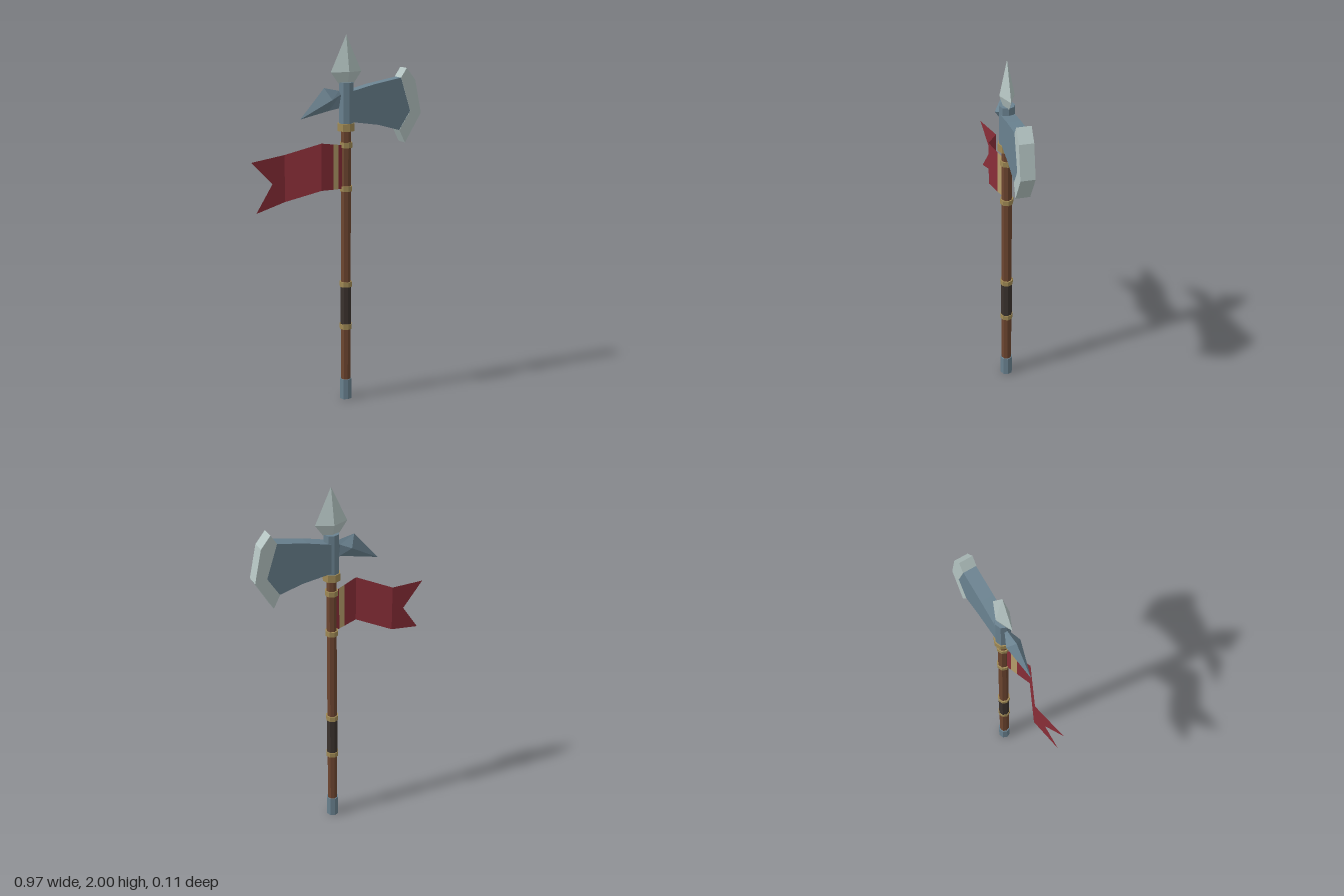
import * as THREE from 'three';

const AX = 0.057, AZ = -0.005; // shaft axis

const mat = (color, side = THREE.FrontSide) =>
  new THREE.MeshStandardMaterial({ color, flatShading: true, side });
const steel = mat(0x6a8290), edge = mat(0xb4c4c2), wood = mat(0x6e4630);
const brass = mat(0xa08a55), leather = mat(0x3b322e);
const red = mat(0x8a2e38, THREE.DoubleSide), tan = mat(0xb89f6c, THREE.DoubleSide);

// Surface through a series of cross-sections, each a list of [x, y, z]
function loft(sections, closed) {
  const n = sections[0].length, index = [];
  for (let s = 0; s < sections.length - 1; s++)
    for (let i = 0; i < (closed ? n : n - 1); i++) {
      const a = s * n + i, b = s * n + (i + 1) % n;
      index.push(a, b, a + n, b, b + n, a + n);
    }
  const g = new THREE.BufferGeometry();
  g.setAttribute('position', new THREE.Float32BufferAttribute(sections.flat(2), 3));
  g.setIndex(index);
  const flat = g.toNonIndexed();
  flat.computeVertexNormals();
  return flat;
}

export function createModel() {
  const model = new THREE.Group();
  const add = (name, geometry, material) => {
    const m = new THREE.Mesh(geometry, material);
    m.name = name;
    model.add(m);
    return m;
  };
  // Eight-sided cylinder on the shaft axis, from y0 to y1
  const rod = (name, r, y0, y1, material) =>
    add(name, new THREE.CylinderGeometry(r, r, y1 - y0, 8), material)
      .position.set(AX, (y0 + y1) / 2, AZ);

  // Shaft, grip and fittings
  rod('shaft', 0.028, 0.05, 1.54, wood);
  rod('pommel', 0.034, 0, 0.115, steel);
  rod('grip', 0.031, 0.42, 0.66, leather);
  for (const y of [0.42, 0.66, 1.19, 1.425]) rod('ring', 0.035, y - 0.014, y + 0.014, brass);
  rod('collar', 0.048, 1.5, 1.54, brass);
  rod('socket', 0.041, 1.535, 1.755, steel);

  // Axe blade and its bright cutting edge
  const plate = (name, points, depth, material) => {
    const shape = new THREE.Shape(points.map(p => new THREE.Vector2(...p)));
    const g = new THREE.ExtrudeGeometry(shape, { depth, bevelEnabled: false });
    add(name, g, material).position.z = AZ - depth / 2;
  };
  plate('axeBlade', [[0.06, 1.55], [0.085, 1.547], [0.23, 1.525], [0.355, 1.49],
    [0.42, 1.59], [0.365, 1.77], [0.2, 1.74], [0.085, 1.712], [0.06, 1.705]], 0.07, steel);
  plate('cuttingEdge', [[0.355, 1.49], [0.39, 1.42], [0.484, 1.577], [0.447, 1.755],
    [0.395, 1.82], [0.362, 1.77], [0.42, 1.59]], 0.074, edge);

  // Back spike: diamond sections from the socket to the tip
  const diamond = (xt, top, xs, mid, xb, bottom, w) =>
    [[xt, top, AZ], [xs, mid, AZ + w], [xb, bottom, AZ], [xs, mid, AZ - w]];
  add('backSpike', loft([
    diamond(0.05, 1.7, 0.05, 1.7, 0.05, 1.615, 0.01),
    diamond(0.015, 1.712, 0.015, 1.69, 0.015, 1.62, 0.014),
    diamond(-0.07, 1.73, -0.04, 1.67, -0.04, 1.61, 0.04),
    diamond(-0.205, 1.573, -0.205, 1.573, -0.205, 1.573, 0),
  ].reverse(), true), steel);

  // Spear point: four-sided, flattened in depth
  const spear = [[0.001, 1.745], [0.045, 1.75], [0.088, 1.81], [0.0005, 2]]
    .map(p => new THREE.Vector2(p[0], p[1]));
  const point = add('spearPoint', new THREE.LatheGeometry(spear, 4).toNonIndexed(), edge);
  point.scale.z = 0.44;
  point.position.set(AX, 0, AZ);

  // Pennant: vertical columns [x, top, bottom, z], with a swallow tail
  const cols = [[0.05, 1.42, 1.19, AZ], [0.006, 1.43, 1.192, 0.011], [-0.03, 1.436, 1.194, 0.024],
    [-0.11, 1.45, 1.2, 0.053], [-0.285, 1.39, 1.14, -0.028]];
  const column = ([x, top, bottom, z]) => [[x, top, z], [x, (top + bottom) / 2, z], [x, bottom, z]];
  const strip = (name, list, material) => add(name, loft(list.map(column), false), material);
  strip('pennantRoot', cols.slice(0, 2), red);
  strip('pennantStripe', cols.slice(1, 3), tan);
  strip('pennantCloth', cols.slice(2), red);
  add('pennantTail', loft([column(cols[4]),
    [[-0.485, 1.37, 0.015], [-0.36, 1.245, -0.012], [-0.46, 1.1, 0.01]]], false), red);

  return model;
}
